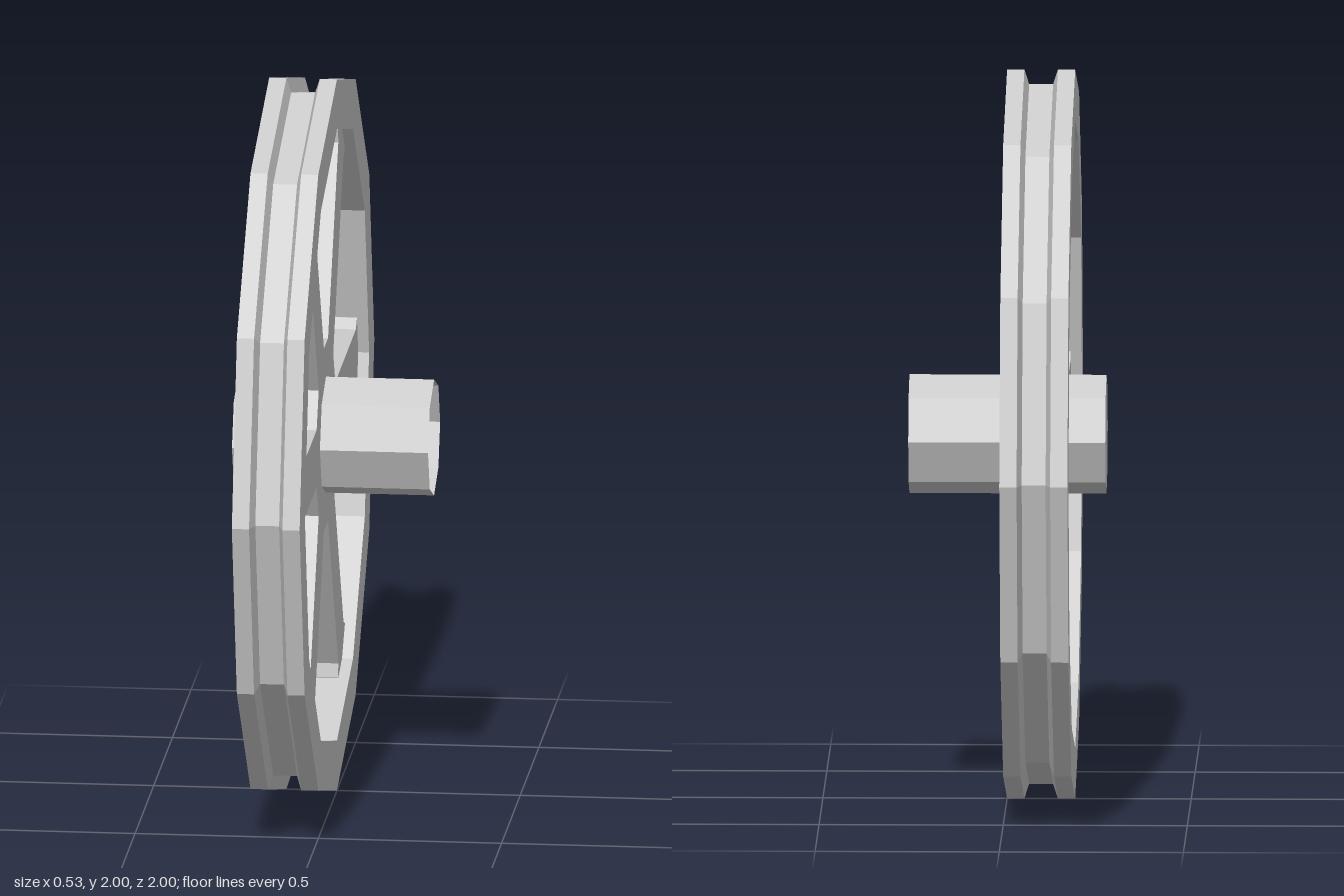
import * as THREE from 'three';

const CENTER_Y = 1;

export function createModel() {
  const group = new THREE.Group();
  const grey = new THREE.MeshStandardMaterial({ color: 0xcccccc, flatShading: true });
  const greyOpen = new THREE.MeshStandardMaterial({ color: 0xcccccc, flatShading: true, side: THREE.DoubleSide });

  const add = (name, geometry, material) => {
    const mesh = new THREE.Mesh(geometry, material);
    mesh.name = name;
    mesh.position.y = CENTER_Y;
    group.add(mesh);
  };

  // Faceted ring about the x axis, from [radius, x] profile points
  const latheX = (profile, sides) =>
    new THREE.LatheGeometry(profile.map(([r, x]) => new THREE.Vector2(r, x)), sides).rotateZ(-Math.PI / 2);

  // Twelve-sided grooved rim
  add('rim', latheX([
    [0.86, -0.185], [1, -0.185], [1, -0.138], [0.96, -0.125],
    [0.96, -0.06], [1, -0.047], [1, 0], [0.86, 0], [0.86, -0.185],
  ], 12), grey);

  // Six spokes with flared ends, joined in the middle as one plate
  const half = [[0.25, 0.08], [0.8, 0.08], [0.83, 0.105], [0.88, 0.105]];
  const spoke = [...half.map(([u, v]) => [u, -v]), ...half.slice().reverse()];
  const outline = [];
  for (let i = 0; i < 6; i++) {
    for (const [u, v] of spoke) {
      outline.push(new THREE.Vector2(u, v).rotateAround(new THREE.Vector2(), i * Math.PI / 3));
    }
  }
  const plate = new THREE.ExtrudeGeometry(new THREE.Shape(outline), { depth: 0.125, bevelEnabled: false });
  plate.rotateY(Math.PI / 2).translate(-0.155, 0, 0);
  add('spokes', plate, grey);

  // Eight-sided axle sleeve, closed at -x and open at +x
  add('axle', latheX([[0, -0.27], [0.163, -0.27], [0.163, 0.265]], 8), greyOpen);

  return group;
}
